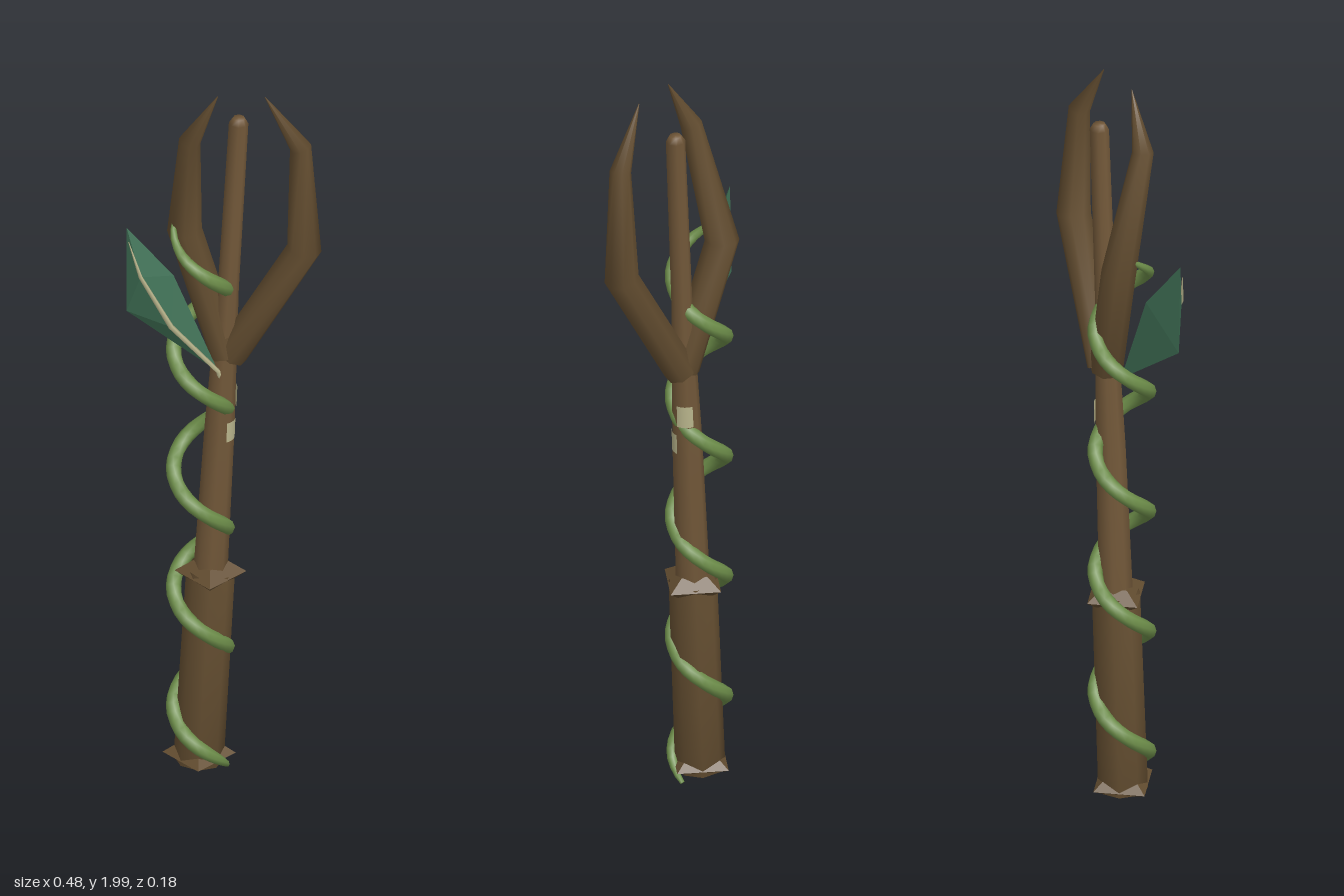
import * as THREE from 'three';

const V = (p) => new THREE.Vector3(...p);

// Tapered round limb through a list of points, one radius per point, closed at both ends
function limb(points, radii, sides, ref) {
  const pts = points.map(V), n = pts.length, pos = [], idx = [];
  pts.forEach((p, i) => {
    const t = new THREE.Vector3();
    if (i > 0) t.add(p.clone().sub(pts[i - 1]).normalize());
    if (i < n - 1) t.add(pts[i + 1].clone().sub(p).normalize());
    t.normalize();
    const u = new THREE.Vector3().crossVectors(ref, t).normalize();
    const w = new THREE.Vector3().crossVectors(t, u);
    for (let j = 0; j < sides; j++) {
      const a = (j / sides) * Math.PI * 2;
      const q = p.clone().addScaledVector(u, Math.cos(a) * radii[i]).addScaledVector(w, Math.sin(a) * radii[i]);
      pos.push(q.x, q.y, q.z);
    }
  });
  pos.push(...pts[0].toArray(), ...pts[n - 1].toArray());
  const c0 = n * sides, c1 = c0 + 1, last = (n - 1) * sides;
  for (let j = 0; j < sides; j++) {
    const k = (j + 1) % sides;
    for (let i = 0; i < n - 1; i++) {
      const a = i * sides + j, b = i * sides + k;
      idx.push(a, b, b + sides, a, b + sides, a + sides);
    }
    idx.push(c0, k, j, c1, last + j, last + k);
  }
  const g = new THREE.BufferGeometry();
  g.setAttribute('position', new THREE.Float32BufferAttribute(pos, 3));
  g.setIndex(idx);
  g.computeVertexNormals();
  return g;
}

export function createModel() {
  const group = new THREE.Group();
  const material = (name, color, side = THREE.FrontSide) => {
    const m = new THREE.MeshStandardMaterial({ color, side });
    m.name = name;
    return m;
  };
  const lightWood = material('light wood', 0x725839);
  const darkWood = material('dark wood', 0x634d30);
  const vineGreen = material('vine green', 0x6c8c49);
  const leafGreen = material('leaf green', 0x3f7055, THREE.DoubleSide);
  const cream = material('pale cream', 0xb9b58c, THREE.DoubleSide);
  const add = (name, geometry, mat) => {
    const m = new THREE.Mesh(geometry, mat);
    m.name = name;
    group.add(m);
    return m;
  };

  // The staff leans slightly toward +x as it rises
  const axisX = (y) => -0.066 + 0.053 * y;
  const onAxis = (y) => [axisX(y), y, 0];
  const Z = new THREE.Vector3(0, 0, 1), Y = new THREE.Vector3(0, 1, 0);

  const rod = (name, ys, rs, mat) => add(name, limb(ys.map(onAxis), rs, 8, Z), mat);
  rod('shaft', [0.5, 1.0, 1.4, 1.885, 1.9], [0.043, 0.037, 0.026, 0.024, 0.015], lightWood);
  rod('handle', [0.04, 0.3, 0.59], [0.062, 0.061, 0.06], darkWood);

  // Four-sided collars at both ends of the handle
  const collar = (name, profile, y) => {
    const g = new THREE.LatheGeometry(profile.map(([r, h]) => new THREE.Vector2(r, h)), 4).toNonIndexed();
    g.computeVertexNormals();
    add(name, g, darkWood).position.set(axisX(y), y, 0);
  };
  collar('pommel', [[0, -0.045], [0.09, 0], [0.05, 0.028], [0, 0.04]], 0.055);
  collar('guardCollar', [[0, -0.045], [0.05, -0.028], [0.088, 0], [0.045, 0.028], [0, 0.04]], 0.583);

  // Claw prongs
  const prongRadii = [0.042, 0.043, 0.027, 0.001];
  add('leftProng', limb([[0.015, 1.215, 0], [0.196, 1.55, 0.041], [0.187, 1.85, 0.052], [0.1, 2, 0.062]],
    prongRadii, 8, Z), darkWood);
  add('rightProng', limb([[0.005, 1.215, 0], [-0.1, 1.55, -0.04], [-0.085, 1.86, 0.045], [-0.016, 2, 0.062]],
    prongRadii, 8, Z), darkWood);

  // Climbing vine, a helix tapered at both ends
  const vinePts = [], vineRadii = [], steps = 110;
  for (let i = 0; i <= steps; i++) {
    const t = i / steps, y = 0.02 + 1.58 * t, a = ((y - 0.02) / 0.345) * Math.PI * 2;
    vinePts.push([-0.06 + 0.066 * Math.cos(a), y, 0.066 * Math.sin(a)]);
    vineRadii.push(0.019 * Math.min(1, 0.3 + t * 14, 0.25 + (1 - t) * 9));
  }
  add('vine', limb(vinePts, vineRadii, 8, Y), vineGreen);

  // Folded leaf: outline with a raised ridge in front and a flat back
  const base = [-0.015, 1.18, 0.03], low = [-0.24, 1.36, 0.04], tip = [-0.24, 1.605, 0.045], high = [-0.125, 1.455, 0.025];
  const ridgeLow = [-0.13, 1.33, 0.065], ridgeHigh = [-0.205, 1.48, 0.075];
  const faces = [
    [base, ridgeLow, low], [low, ridgeLow, ridgeHigh], [low, ridgeHigh, tip],
    [base, high, ridgeLow], [ridgeLow, high, ridgeHigh], [ridgeHigh, high, tip],
    [base, low, high], [low, tip, high],
  ];
  const leaf = new THREE.BufferGeometry();
  leaf.setAttribute('position', new THREE.Float32BufferAttribute(faces.flat(2), 3));
  leaf.computeVertexNormals();
  add('leaf', leaf, leafGreen);
  add('leafVein', limb([[-0.01, 1.15, 0.02], base, ridgeLow, ridgeHigh, [-0.235, 1.57, 0.055]],
    [0.006, 0.006, 0.007, 0.005, 0.001], 5, Z), cream);

  // Pale bark patches on the shaft
  const patch = (y, height, start, length) => {
    const g = new THREE.CylinderGeometry(0.0375, 0.0385, height, 6, 1, true, start, length);
    const m = add('barkPatch', g, cream);
    m.position.set(...onAxis(y));
    m.rotation.z = -0.053;
  };
  patch(1.005, 0.055, 0.5, 1.0);
  patch(1.09, 0.06, 1.6, 1.1);

  return group;
}
